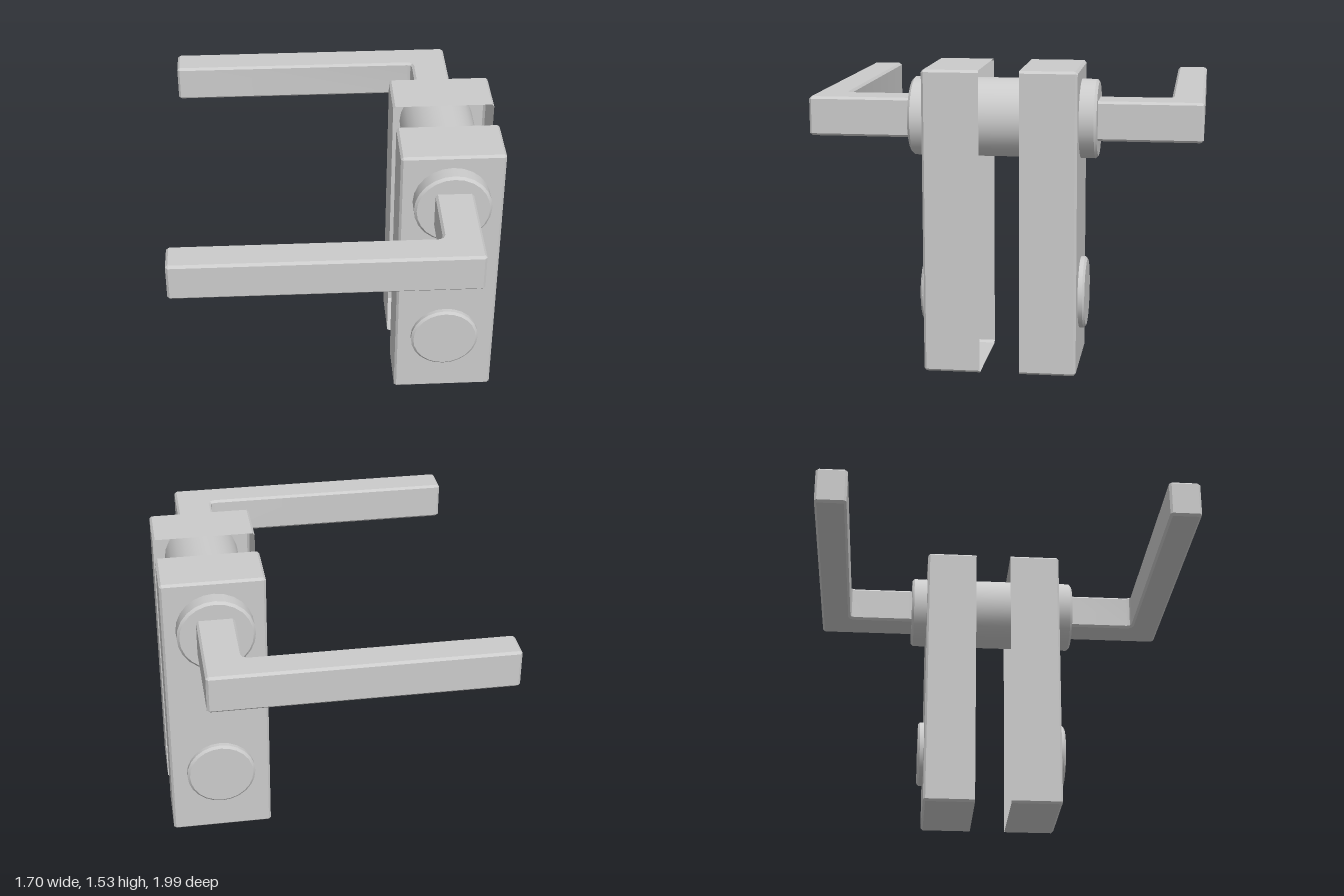
import * as THREE from 'three';
import { toCreasedNormals } from 'three/addons/utils/BufferGeometryUtils.js';

const AXIS_X = 0.58, SPINDLE_Y = 1.27, KNOB_Y = 0.37, BEVEL = 0.012;
const grey = new THREE.MeshStandardMaterial({ color: 0xcccccc });
const greyOpen = new THREE.MeshStandardMaterial({ color: 0xcccccc, side: THREE.DoubleSide });

// Round part turned about the z axis, from [radius, z] points
function turned(profile) {
  const points = profile.map(([r, z]) => new THREE.Vector2(r, z));
  const geometry = new THREE.LatheGeometry(points, 24).rotateX(Math.PI / 2);
  return toCreasedNormals(geometry, 0.5);
}

// Chamfered rectangle, anticlockwise, centred on the origin
function ring(w, h, z, c) {
  const x = w / 2, y = h / 2;
  return [
    [x, c - y], [x, y - c], [x - c, y], [c - x, y],
    [-x, y - c], [-x, c - y], [c - x, -y], [x - c, -y],
  ].map(([px, py]) => [px, py, z]);
}

// Thin plate cover: bevelled outer face, open towards the door
function plateGeometry() {
  const w = 0.535, h = 1.535;
  const rings = [
    ring(w, h, 0.1, BEVEL),
    ring(w, h, 0.385 - BEVEL, BEVEL),
    ring(w - 2 * BEVEL, h - 2 * BEVEL, 0.385, 0.003),
  ];
  const positions = [];
  for (let k = 0; k < 2; k++) {
    for (let i = 0; i < 8; i++) {
      const j = (i + 1) % 8, a = rings[k], b = rings[k + 1];
      positions.push(...a[i], ...a[j], ...b[j], ...a[i], ...b[j], ...b[i]);
    }
  }
  const face = rings[2];
  for (let i = 1; i < 7; i++) positions.push(...face[0], ...face[i], ...face[i + 1]);
  const geometry = new THREE.BufferGeometry();
  geometry.setAttribute('position', new THREE.Float32BufferAttribute(positions, 3));
  geometry.computeVertexNormals();
  return geometry;
}

// L-shaped lever drawn in x and z, extruded through its height
function leverGeometry() {
  const b = BEVEL, left = -0.85, right = 0.68, inner = 0.83, outer = 0.995;
  const outline = [
    [0.485, 0.44], [right, 0.44], [right, outer - b], [right - b, outer],
    [left + b, outer], [left, outer - b], [left, inner + b], [left + b, inner],
    [0.46, inner], [0.478, inner - 0.007], [0.485, inner - 0.025],
  ].map(([x, z]) => new THREE.Vector2(x, z));
  const height = 0.2;
  const geometry = new THREE.ExtrudeGeometry(new THREE.Shape(outline), {
    depth: height - 2 * b, bevelEnabled: true, bevelSegments: 1,
    bevelSize: b, bevelThickness: b, bevelOffset: -b,
  });
  geometry.translate(0, 0, b - height / 2).rotateX(Math.PI / 2);
  return toCreasedNormals(geometry, 0.4);
}

export function createModel() {
  const model = new THREE.Group();
  model.name = 'doorHandleSet';

  function add(parent, name, geometry, x, y, flip = false, material = grey) {
    const mesh = new THREE.Mesh(geometry, material);
    mesh.name = name;
    mesh.position.set(x, y, 0);
    if (flip) mesh.rotation.x = Math.PI;
    parent.add(mesh);
  }

  // Barrel through both plates, ending in a raised collar on each side
  add(model, 'spindleBarrel', turned([
    [0, -0.472], [0.187, -0.472], [0.2, -0.459],
    [0.2, 0.459], [0.187, 0.472], [0, 0.472],
  ]), AXIS_X, SPINDLE_Y);

  const plate = plateGeometry();
  const lever = leverGeometry();
  const knob = turned([[0, 0.28], [0.183, 0.28], [0.183, 0.407], [0.17, 0.418], [0, 0.418]]);

  // The same set of parts on each face of the door
  for (const side of ['front', 'back']) {
    const flip = side === 'back';
    const group = new THREE.Group();
    group.name = side + 'Side';
    add(group, side + 'Plate', plate, 0.5825, 0.7675, flip, greyOpen);
    add(group, side + 'Lever', lever, 0, SPINDLE_Y, flip);
    add(group, side + 'LockCover', knob, AXIS_X, KNOB_Y, flip);
    model.add(group);
  }
  return model;
}
